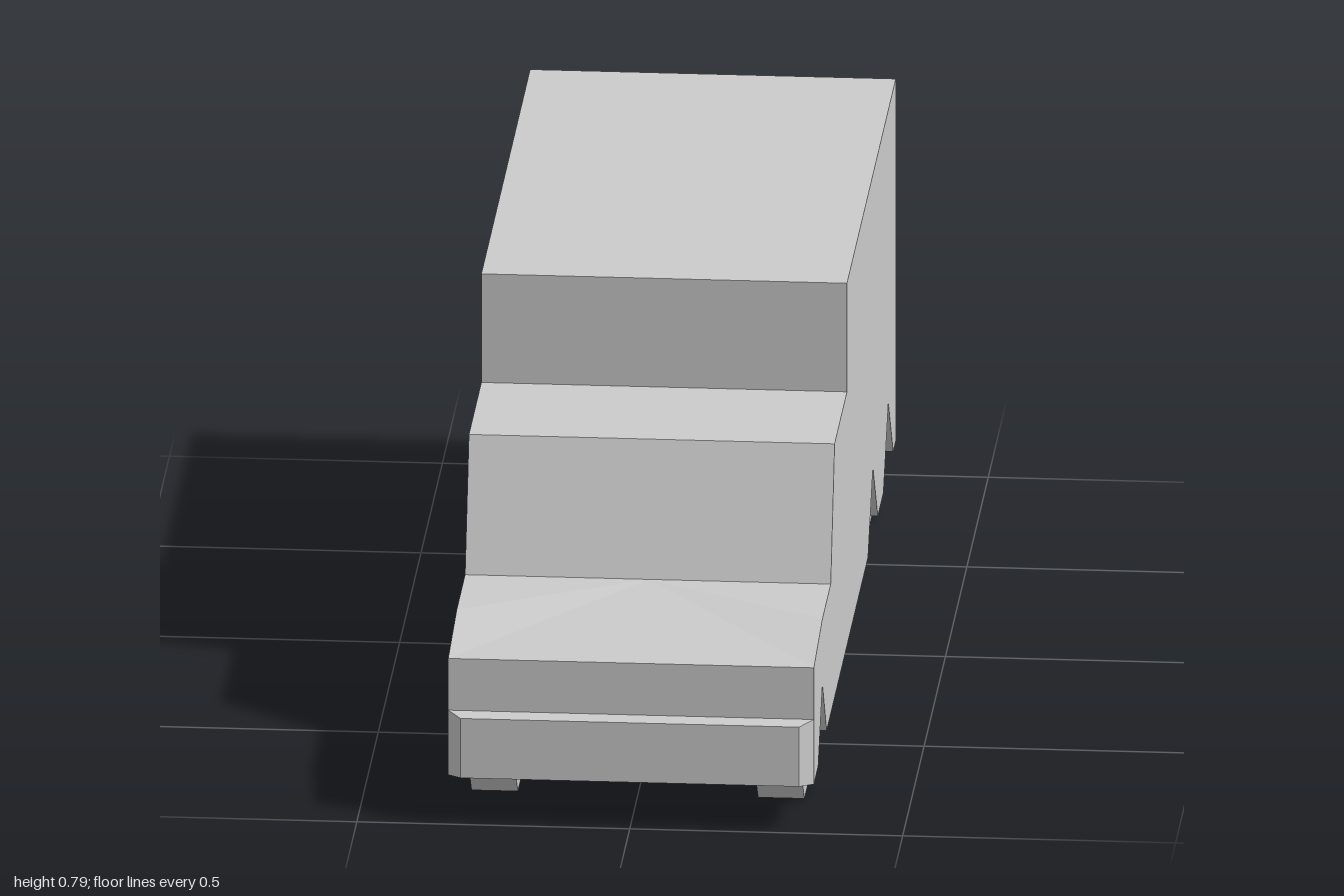
import * as THREE from 'three';

const W = 0.335;      // half width of the body
const INNER = 0.145;  // inner end of the wheel wells
const FLOOR = 0.085;

const material = new THREE.MeshStandardMaterial({ color: 0xcccccc, flatShading: true });
const sheet = new THREE.MeshStandardMaterial({ color: 0xcccccc, flatShading: true, side: THREE.DoubleSide });

// Wheel positions with the size of each triangular arch
const axles = [
  { z: 0.77, apex: 0.21, half: 0.1 },
  { z: -0.41, apex: 0.22, half: 0.115 },
  { z: -0.77, apex: 0.22, half: 0.115 },
];

// Body outline as [z, y], from the front bottom over the roof to the back bottom
const outline = [
  [0.97, FLOOR], [0.97, 0.31], [0.77, 0.335], [0.575, 0.335], [0.485, 0.575],
  [0.195, 0.575], [0.195, 0.785], [-0.945, 0.785], [-0.945, FLOOR],
];

function add(parent, name, geometry, mat = material) {
  const mesh = new THREE.Mesh(geometry, mat);
  mesh.name = name;
  parent.add(mesh);
  return mesh;
}

// Fans of flat triangles, one per list of corners
function facets(polygons) {
  const points = [];
  for (const p of polygons) {
    for (let i = 1; i < p.length - 1; i++) points.push(...p[0], ...p[i], ...p[i + 1]);
  }
  const geometry = new THREE.BufferGeometry();
  geometry.setAttribute('position', new THREE.Float32BufferAttribute(points, 3));
  geometry.computeVertexNormals();
  return geometry;
}

// Box whose outer end (in z) is narrowed to a given half width and height
function bumper(height, z0, z1, outerHalf, outerHeight) {
  const depth = Math.abs(z1 - z0);
  const geometry = new THREE.BoxGeometry(2 * W, height, depth);
  const p = geometry.attributes.position;
  for (let i = 0; i < p.count; i++) {
    if (p.getZ(i) * Math.sign(z1) > 0) {
      p.setX(i, Math.sign(p.getX(i)) * outerHalf);
      p.setY(i, Math.sign(p.getY(i)) * outerHeight / 2);
    }
  }
  geometry.translate(0, FLOOR + height / 2, (z0 + z1) / 2);
  geometry.computeVertexNormals();
  return geometry;
}

// Everything on one side, built at -x
function buildSide(name) {
  const side = new THREE.Group();
  side.name = name;

  // Side wall with arch notches along its lower edge
  const notches = [...axles].reverse().flatMap(({ z, apex, half }) => [
    [z - half, FLOOR], [z, apex], [z + half, FLOOR],
  ]);
  const shape = new THREE.Shape([...outline, ...notches].map(([z, y]) => new THREE.Vector2(z, y)));
  const wall = add(side, 'sideWall', new THREE.ShapeGeometry(shape), sheet);
  wall.rotation.y = -Math.PI / 2;
  wall.position.x = -W;

  for (const { z, apex, half } of axles) {
    // Tent-shaped wheel well, open below and outward
    const ring = x => [[x, FLOOR, z + half], [x, apex, z], [x, FLOOR, z - half]];
    const [a, b, c] = ring(-W);
    const [d, e, f] = ring(-INNER);
    add(side, 'wheelWell', facets([[a, d, e, b], [b, e, f, c], [d, f, e]]), sheet);

    // Eight-sided wheel standing on a flat
    const wheel = new THREE.CylinderGeometry(0.09 / Math.cos(Math.PI / 8), 0.09 / Math.cos(Math.PI / 8), 0.085, 8);
    wheel.rotateY(Math.PI / 8).rotateZ(Math.PI / 2).translate(-0.2625, 0.09, z);
    add(side, 'wheel', wheel);

    // Short stub between wheel and well
    add(side, 'axleStub', new THREE.BoxGeometry(0.06, 0.06, 0.06).translate(-0.19, 0.12, z));
  }
  return side;
}

export function createModel() {
  const model = new THREE.Group();
  model.name = 'truck';

  // Front, windscreen, roofs and back as strips across the body
  const names = ['frontPanel', null, null, 'windscreen', 'cabRoof', 'boxFront', 'boxRoof', 'backPanel'];
  names.forEach((name, i) => {
    if (!name) return;
    const [z0, y0] = outline[i];
    const [z1, y1] = outline[i + 1];
    add(model, name, facets([[[-W, y0, z0], [W, y0, z0], [W, y1, z1], [-W, y1, z1]]]), sheet);
  });

  // Bonnet fanning out from the middle of the windscreen foot
  const edge = outline.slice(1, 4);
  const left = edge.map(([z, y]) => [W, y, z]);
  const right = edge.map(([z, y]) => [-W, y, z]).reverse();
  add(model, 'bonnet', facets([[[0, 0.335, 0.575], ...right, ...left]]), sheet);

  add(model, 'frontBumper', bumper(0.125, 0.97, 1, 0.31, 0.115));
  add(model, 'backBumper', bumper(0.065, -0.945, -1, 0.29, 0.065));

  const rightSide = buildSide('rightSide');
  const leftSide = buildSide('leftSide');
  leftSide.scale.x = -1;
  model.add(rightSide, leftSide);
  return model;
}
